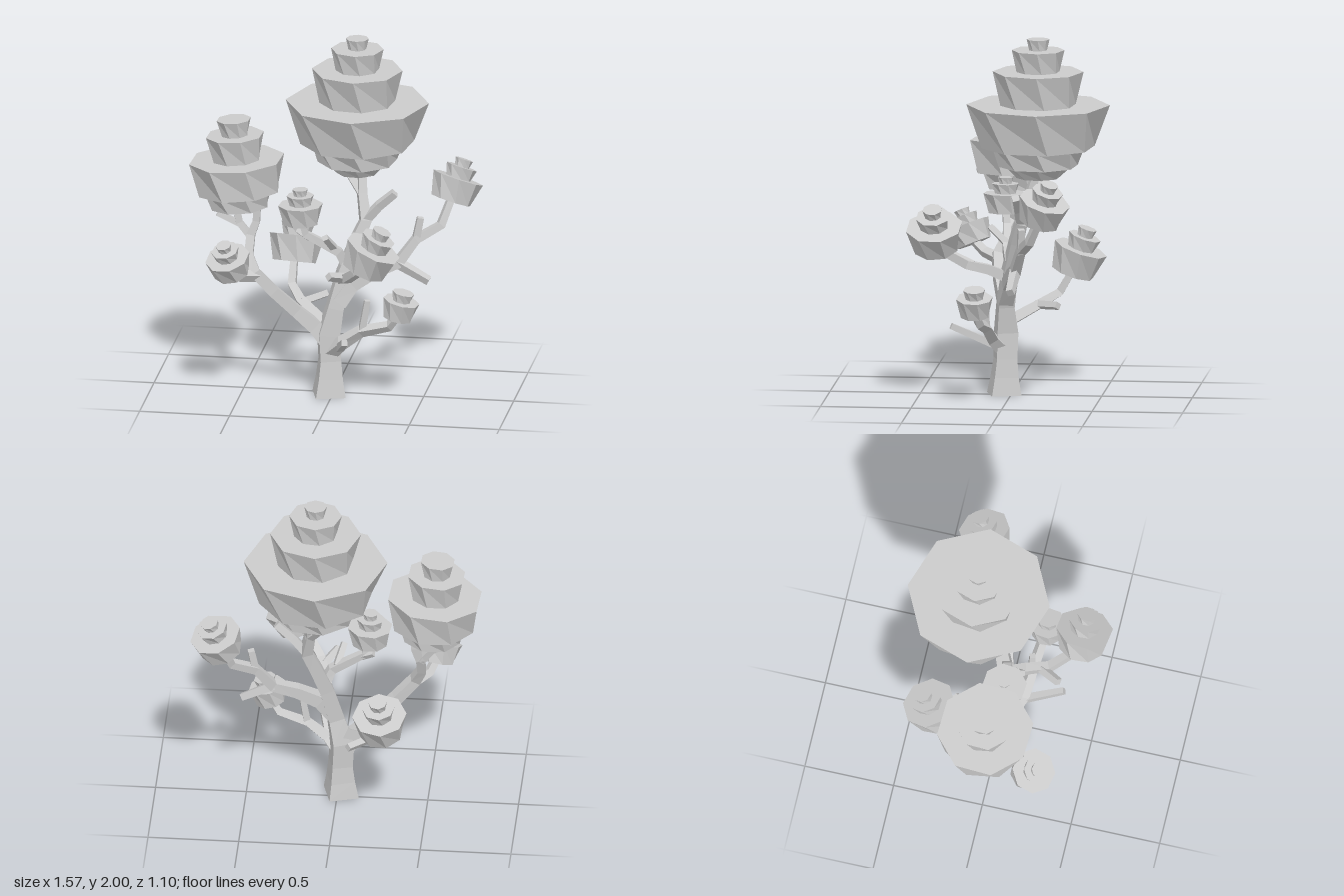
import * as THREE from 'three';

const mat = new THREE.MeshStandardMaterial({ color: 0xcccccc, flatShading: true });
const V = (p) => new THREE.Vector3(p[0], p[1], p[2]);
const UP = new THREE.Vector3(0, 1, 0);
const SIDES = 4, FIRST_CORNER = 1.06, TWIST = 0.2;

// Four-sided tapering limb through points [x, y, z, radius], with flat caps
function limb(name, pts) {
  const n = SIDES, pos = [], idx = [];
  const c = pts.map(V);
  const dir = (i) => c[Math.min(i + 1, c.length - 1)].clone().sub(c[Math.max(i - 1, 0)]).normalize();
  // The trunk stands on the ground, so its first ring stays level
  const q = new THREE.Quaternion();
  let last = UP;
  c.forEach((p, i) => {
    const d = p.y === 0 ? UP : dir(i);
    q.premultiply(new THREE.Quaternion().setFromUnitVectors(last, d));
    last = d;
    for (let k = 0; k < n; k++) {
      const a = FIRST_CORNER + k / n * Math.PI * 2, r = pts[i][3];
      const v = new THREE.Vector3(Math.sin(a) * r, 0, Math.cos(a) * r).applyQuaternion(q).add(p);
      pos.push(v.x, v.y, v.z);
    }
  });
  for (let i = 0; i < c.length - 1; i++) {
    for (let k = 0; k < n; k++) {
      const a = i * n + k, b = i * n + (k + 1) % n;
      idx.push(a, b, b + n, a, b + n, a + n);
    }
  }
  const e = (c.length - 1) * n;
  for (let k = 1; k < n - 1; k++) idx.push(0, k + 1, k, e, e + k, e + k + 1);
  const geo = new THREE.BufferGeometry();
  geo.setAttribute('position', new THREE.Float32BufferAttribute(pos, 3));
  geo.setIndex(idx);
  geo.computeVertexNormals();
  const mesh = new THREE.Mesh(geo, mat);
  mesh.name = name;
  return mesh;
}

// Octagonal stacked foliage; tiers are [y0, r0, y1, r1] along the axis from base to top
function foliage(name, base, top, tiers, turn) {
  const profile = [new THREE.Vector2(0, tiers[0][0])];
  for (const [y0, r0, y1, r1] of tiers) profile.push(new THREE.Vector2(r0, y0), new THREE.Vector2(r1, y1));
  profile.push(new THREE.Vector2(0, tiers[tiers.length - 1][2]));
  const geo = new THREE.LatheGeometry(profile, 8, turn);
  // Turn the lower ring of each tier so its sides are skewed
  const pos = geo.attributes.position, v = new THREE.Vector3();
  for (let i = 0; i < pos.count; i++) {
    if (i % profile.length % 2 === 0) continue;
    v.fromBufferAttribute(pos, i).applyAxisAngle(UP, TWIST);
    pos.setXYZ(i, v.x, v.y, v.z);
  }
  geo.computeVertexNormals();
  const mesh = new THREE.Mesh(geo, mat);
  mesh.name = name;
  mesh.position.copy(V(base));
  mesh.quaternion.setFromUnitVectors(UP, V(top).sub(V(base)).normalize());
  return mesh;
}

// Small tuft: two or three tiers scaled to its length and radius
function tuft(name, base, top, R, levels, turn) {
  const L = V(base).distanceTo(V(top));
  const shape = levels === 3
    ? [[0, 0.8, 0.55, 1], [0.55, 0.5, 0.82, 0.61], [0.82, 0.29, 1, 0.35]]
    : [[0, 0.8, 0.68, 1], [0.68, 0.5, 1, 0.6]];
  return foliage(name, base, top, shape.map(([a, b, c, d]) => [a * L, b * R, c * L, d * R]), turn);
}

export function createModel() {
  const tree = new THREE.Group();
  tree.name = 'tree';

  // Trunk and limbs
  const limbs = {
    trunk: [[-0.02, 0, 0.04, 0.116], [-0.018, 0.1, 0.037, 0.094], [-0.017, 0.2, 0.033, 0.08],
      [-0.025, 0.35, 0.03, 0.082], [0.01, 0.5, 0.03, 0.062], [0.06, 0.7, 0, 0.056], [0.12, 0.87, -0.04, 0.049],
      [0.165, 0.98, -0.07, 0.043], [0.14, 1.12, -0.11, 0.035], [0.135, 1.25, -0.15, 0.028]],
    crownFork: [[0.145, 1.11, -0.11, 0.032], [0.07, 1.2, -0.16, 0.028], [0.06, 1.26, -0.17, 0.026]],
    crownStub: [[0.155, 0.97, -0.07, 0.034], [0.24, 1.07, -0.065, 0.031], [0.33, 1.15, -0.06, 0.028]],
    rightLimb: [[-0.03, 0.31, 0.03, 0.068], [-0.1, 0.39, 0.04, 0.056], [-0.2, 0.48, 0.06, 0.047],
      [-0.32, 0.6, 0.1, 0.043], [-0.42, 0.71, 0.12, 0.041], [-0.46, 0.8, 0.08, 0.034], [-0.455, 0.9, 0.04, 0.033],
      [-0.425, 0.98, 0.03, 0.028], [-0.42, 1.1, 0.03, 0.025]],
    rightFork: [[-0.455, 0.89, 0.04, 0.03], [-0.52, 0.97, 0.04, 0.028], [-0.54, 1.09, 0.04, 0.025]],
    rightForkStub: [[-0.51, 0.96, 0.04, 0.026], [-0.64, 1.02, 0.05, 0.021]],
    rightFrontBranch: [[-0.41, 0.69, 0.12, 0.035], [-0.49, 0.71, 0.2, 0.031], [-0.53, 0.77, 0.27, 0.026]],
    rightBackBranch: [[-0.05, 0.4, 0.02, 0.041], [-0.2, 0.47, -0.13, 0.035], [-0.27, 0.53, -0.24, 0.031],
      [-0.27, 0.66, -0.315, 0.026]],
    rightBackStub: [[-0.2, 0.47, -0.12, 0.026], [-0.08, 0.485, -0.25, 0.024]],
    innerBranch: [[0.07, 0.74, 0, 0.039], [0.03, 0.82, 0.02, 0.033], [-0.06, 0.87, 0.03, 0.03],
      [-0.15, 0.92, 0.04, 0.028], [-0.175, 1.01, 0.05, 0.024]],
    innerFrontStub: [[0.005, 0.84, 0.02, 0.026], [-0.03, 0.93, 0.12, 0.022]],
    innerSideStub: [[-0.13, 0.9, 0.04, 0.024], [-0.2, 0.935, 0.02, 0.02]],
    leftLimb: [[0.03, 0.53, 0.03, 0.058], [0.1, 0.63, 0, 0.053], [0.22, 0.7, -0.03, 0.045],
      [0.35, 0.75, -0.06, 0.039], [0.44, 0.875, -0.1, 0.033], [0.57, 0.945, -0.16, 0.031], [0.62, 1.09, -0.225, 0.026]],
    leftUpStub: [[0.438, 0.86, -0.1, 0.029], [0.465, 1, -0.105, 0.025]],
    leftDownStub: [[0.34, 0.75, -0.06, 0.033], [0.52, 0.655, -0.05, 0.027]],
    frontBranch: [[0.05, 0.66, 0.01, 0.041], [0.08, 0.71, 0.12, 0.037], [0.11, 0.74, 0.24, 0.033],
      [0.18, 0.81, 0.34, 0.03], [0.24, 0.88, 0.39, 0.026]],
    frontBranchStub: [[0.09, 0.73, 0.2, 0.029], [0.02, 0.77, 0.31, 0.025]],
    lowBranch: [[-0.01, 0.25, 0.05, 0.049], [0.06, 0.32, 0.1, 0.041], [0.17, 0.4, 0.12, 0.035],
      [0.33, 0.445, 0.14, 0.03], [0.385, 0.52, 0.16, 0.024]],
    lowFrontStub: [[0.05, 0.29, 0.1, 0.029], [0.11, 0.395, 0.32, 0.023]],
    lowUpStub: [[0.175, 0.4, 0.12, 0.027], [0.205, 0.58, 0.12, 0.022]],
  };
  for (const [name, pts] of Object.entries(limbs)) tree.add(limb(name, pts));

  // Large crowns
  tree.add(foliage('mainCrown', [0.105, 1.23, -0.16], [0.105, 2, -0.16], [
    [0, 0.12, 0.065, 0.185], [0.065, 0.22, 0.17, 0.255], [0.17, 0.315, 0.405, 0.395],
    [0.405, 0.21, 0.59, 0.25], [0.59, 0.12, 0.71, 0.145], [0.71, 0.05, 0.77, 0.063]], 0.065));
  tree.add(foliage('rightCrown', [-0.518, 1.06, 0.025], [-0.553, 1.56, 0.025], [
    [0, 0.165, 0.09, 0.19], [0.09, 0.235, 0.27, 0.266], [0.27, 0.135, 0.41, 0.162],
    [0.41, 0.075, 0.5, 0.096]], 0.34));

  // Small tufts at the branch ends
  tree.add(tuft('rightFrontTuft', [-0.525, 0.75, 0.26], [-0.56, 0.93, 0.335], 0.125, 3, 0.2));
  tree.add(tuft('rightBackTuft', [-0.27, 0.64, -0.31], [-0.257, 0.89, -0.395], 0.15, 3, 0.1));
  tree.add(tuft('innerTuft', [-0.175, 0.985, 0.05], [-0.18, 1.18, 0.05], 0.124, 3, 0.3));
  tree.add(tuft('frontTuft', [0.225, 0.85, 0.39], [0.333, 1.08, 0.4], 0.158, 3, 0.3));
  tree.add(tuft('leftTuft', [0.615, 1.07, -0.22], [0.68, 1.29, -0.285], 0.143, 3, 0.15));
  tree.add(tuft('lowTuft', [0.378, 0.5, 0.16], [0.413, 0.65, 0.16], 0.102, 2, 0.25));
  return tree;
}
